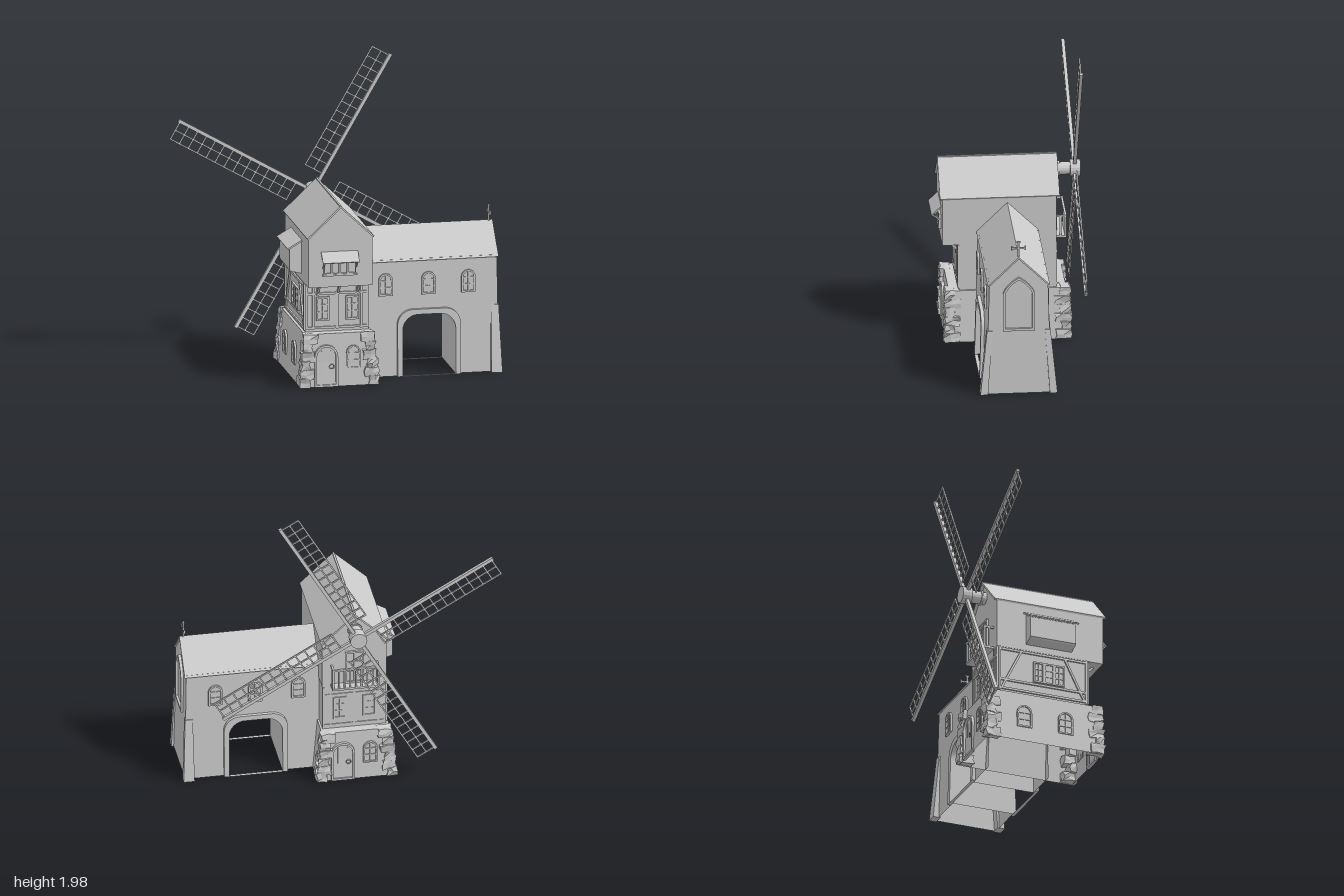
import * as THREE from 'three';

const mat = new THREE.MeshStandardMaterial({ color: 0xcccccc, flatShading: true, side: THREE.DoubleSide });

function add(parent, name, geo, x = 0, y = 0, z = 0) {
  const m = new THREE.Mesh(geo, mat);
  m.name = name;
  m.position.set(x, y, z);
  parent.add(m);
  return m;
}
const box = (p, name, w, h, d, x, y, z) => add(p, name, new THREE.BoxGeometry(w, h, d), x, y, z);

// bar between two points in the local xy plane
function bar(p, name, x0, y0, x1, y1, w, d, z = 0) {
  const m = box(p, name, Math.hypot(x1 - x0, y1 - y0), w, d, (x0 + x1) / 2, (y0 + y1) / 2, z);
  m.rotation.z = Math.atan2(y1 - y0, x1 - x0);
  return m;
}
function place(parent, name, x, y, z, ry = 0) {
  const g = new THREE.Group();
  g.name = name;
  g.position.set(x, y, z);
  g.rotation.y = ry;
  parent.add(g);
  return g;
}
// box whose bottom and top rectangles [x0, x1, z0, z1] differ
function taper(p, name, y0, a, y1, b, open = false) {
  const g = new THREE.BoxGeometry(1, 1, 1), v = g.attributes.position;
  for (let i = 0; i < v.count; i++) {
    const up = v.getY(i) > 0, r = up ? b : a;
    v.setXYZ(i, v.getX(i) < 0 ? r[0] : r[1], up ? y1 : y0, v.getZ(i) < 0 ? r[2] : r[3]);
  }
  if (open) {
    const idx = Array.from(g.index.array);
    idx.splice(18, 6);
    g.setIndex(idx);
    g.clearGroups();
  }
  g.computeVertexNormals();
  return add(p, name, g);
}
const poly = pts => new THREE.Shape(pts.map(q => new THREE.Vector2(q[0], q[1])));
const extrude = (shape, depth) => new THREE.ExtrudeGeometry(shape, { depth, bevelEnabled: false, curveSegments: 6 });

// opening outlines standing on y = 0
function outline(kind, w, h, x = 0, y = 0) {
  const s = new THREE.Shape(), a = w / 2;
  s.moveTo(x - a, y).lineTo(x + a, y);
  if (kind === 'round') {
    s.lineTo(x + a, y + h - a);
    s.absarc(x, y + h - a, a, 0, Math.PI, false);
  } else if (kind === 'pointed') {
    s.lineTo(x + a, y + h - w * 0.55);
    s.quadraticCurveTo(x + a * 0.8, y + h - w * 0.25, x, y + h);
    s.quadraticCurveTo(x - a * 0.8, y + h - w * 0.25, x - a, y + h - w * 0.55);
  } else if (kind === 'gate') {
    const r = 0.1;
    s.lineTo(x + a, y + h - r);
    s.absarc(x + a - r, y + h - r, r, 0, Math.PI / 2, false);
    s.absarc(x - a + r, y + h - r, r, Math.PI / 2, Math.PI, false);
  } else s.lineTo(x + a, y + h).lineTo(x - a, y + h);
  s.closePath();
  return s;
}
function opening(p, name, kind, w, h, t, bars = true, d = 0.014) {
  const f = outline(kind, w, h);
  f.holes.push(outline(kind, w - 2 * t, h - 2 * t, 0, t));
  add(p, name + 'Frame', extrude(f, d));
  add(p, name + 'Panel', new THREE.ShapeGeometry(outline(kind, w - t, h - t, 0, t / 2), 6), 0, 0, 0.004);
  if (bars) {
    box(p, name + 'Mullion', 0.007, h - t, 0.008, 0, h / 2, 0.006);
    for (const k of [0.36, 0.66]) box(p, name + 'Bar', w - t, 0.007, 0.008, 0, h * k, 0.006);
  }
}
function door(p) {
  opening(p, 'door', 'round', 0.15, 0.27, 0.014, false, 0.02);
  for (const x of [-0.03, 0.03]) box(p, 'doorPlankSeam', 0.005, 0.22, 0.006, x, 0.12, 0.005);
  add(p, 'doorKnob', new THREE.TorusGeometry(0.014, 0.004, 5, 10), 0.035, 0.13, 0.014);
}

// rough corner stones climbing a battered corner
function quoins(p, sx, sz) {
  let seed = 17 + sx * 3 + sz * 7;
  const rnd = () => (seed = (seed * 16807 + 11) % 2147483647) / 2147483647;
  rnd(); rnd();
  const n = 6;
  for (let i = 0; i < n; i++) {
    const h = 0.34 / n, long = i % 2;
    const g = new THREE.BoxGeometry(long ? 0.09 : 0.065, h * 1.08, long ? 0.065 : 0.1, 2, 2, 2);
    const v = g.attributes.position, moved = new Map();
    for (let k = 0; k < v.count; k++) {
      const key = [v.getX(k), v.getY(k), v.getZ(k)].map(c => c.toFixed(4)).join();
      if (!moved.has(key)) moved.set(key, [rnd(), rnd(), rnd()].map(r => (r - 0.5) * 0.018));
      const o = moved.get(key);
      v.setXYZ(k, v.getX(k) * 0.97 + o[0], v.getY(k) + o[1] * 0.6, v.getZ(k) * 0.97 + o[2]);
    }
    g.computeVertexNormals();
    const y = h * (i + 0.5), off = 0.035 * y / 0.34;
    const w = long ? 0.045 : 0.0325, d = long ? 0.0325 : 0.05;
    add(p, 'cornerStone', g, -0.0775 + sx * (0.26 - off - w), Math.max(y, 0.034), sz * (0.405 - off * 0.3 - d));
  }
}

function tower(root) {
  const g = place(root, 'tower', 0, 0, 0);
  const X = -0.075;
  taper(g, 'stoneBase', 0, [-0.325, 0.17, -0.385, 0.385], 0.34, [-0.295, 0.14, -0.37, 0.37], true);
  for (const sx of [-1, 1]) for (const sz of [-1, 1]) quoins(g, sx, sz);
  box(g, 'middleStorey', 0.405, 0.33, 0.615, X, 0.495, -0.0025);
  add(g, 'upperStorey', extrude(poly([[-0.28, 0.65], [0.13, 0.65], [0.13, 0.97], [X, 1.16], [-0.28, 0.97]]), 0.72), 0, 0, -0.31);
  // roof
  add(g, 'towerRoof', extrude(poly([[X, 1.175], [-0.29, 0.972], [-0.285, 0.962], [X, 1.16], [0.135, 0.962], [0.14, 0.972]]), 0.755), 0, 0, -0.33);
  box(g, 'ridgeCap', 0.012, 0.012, 0.755, X, 1.17, 0.0475);

  // front and back of the base and middle storey
  for (const s of [1, -1]) {
    const f = place(g, s > 0 ? 'frontDetails' : 'backDetails', X, 0, 0, s > 0 ? 0 : Math.PI);
    door(place(f, 'arched door', -0.085, 0, 0.374));
    opening(place(f, 'small window', 0.09, 0.11, 0.375), 'baseWindow', 'round', 0.09, 0.15, 0.01);
    for (const x of [-0.092, 0.097]) opening(place(f, 'middle window', x, 0.41, 0.303), 'middleWindow', 'rect', 0.085, 0.155, 0.012);
    for (const x of [-0.195, -0.152, 0, 0.155, 0.195]) box(f, 'timberPost', 0.014, 0.29, 0.012, x, 0.5, 0.308);
    for (const y of [0.365, 0.585]) box(f, 'timberRail', 0.4, 0.014, 0.012, 0, y, 0.309);
  }
  // jetty brackets under the overhang
  for (const x of [-0.2, -0.07, 0.055]) {
    const b = place(g, 'jettyBracket', x, 0, 0, -Math.PI / 2);
    bar(b, 'jettyBrace', 0.305, 0.585, 0.37, 0.65, 0.014, 0.014);
    box(b, 'jettyPost', 0.014, 0.075, 0.014, 0.311, 0.615, 0);
  }
  // front upper window with awning
  const w = place(g, 'upper front window', -0.08, 0, 0.41);
  box(w, 'windowSill', 0.22, 0.012, 0.02, 0, 0.73, 0.008);
  for (let i = 0; i < 4; i++) opening(place(w, 'window light', -0.078 + i * 0.052, 0.735, 0), 'upperWindow', 'rect', 0.052, 0.085, 0.007, false);
  const aw = box(w, 'awning', 0.235, 0.008, 0.085, 0, 0.847, 0.028);
  aw.rotation.x = 0.78;
  for (const x of [-0.105, 0.105]) {
    const b = place(w, 'awningBracket', x, 0, 0, -Math.PI / 2);
    bar(b, 'awningBrace', 0, 0.775, 0.055, 0.82, 0.008, 0.008);
  }
  // back balcony
  const bal = place(g, 'balcony', X, 0, -0.31, Math.PI);
  box(bal, 'balconyFloor', 0.3, 0.014, 0.07, 0, 0.66, 0.033);
  box(bal, 'balconyRail', 0.3, 0.012, 0.014, 0, 0.8, 0.062);
  for (let i = 0; i < 9; i++) box(bal, 'baluster', 0.01, 0.14, 0.01, -0.144 + i * 0.036, 0.73, 0.062);
  for (const x of [-0.144, 0.144]) {
    box(bal, 'balconySideRail', 0.012, 0.012, 0.065, x, 0.8, 0.03);
    box(bal, 'sideBaluster', 0.01, 0.14, 0.01, x, 0.73, 0.03);
  }
  opening(place(bal, 'balcony door', 0, 0.667, 0), 'balconyDoor', 'rect', 0.12, 0.23, 0.012);

  // left side bay, window and bracing
  add(g, 'sideBay', extrude(poly([[-0.27, 0.9], [-0.355, 0.855], [-0.355, 0.72], [-0.345, 0.71], [-0.27, 0.69]]), 0.31), 0, 0, -0.115);
  bar(g, 'sideBayRoof', -0.37, 0.855, -0.275, 0.91, 0.01, 0.34, 0.04);
  const l = place(g, 'left details', -0.278, 0, 0, -Math.PI / 2);
  for (const x of [-0.06, 0.01, 0.08]) opening(place(l, 'side window', x + 0.03, 0.44, 0), 'sideWindow', 'rect', 0.07, 0.14, 0.01);
  for (const y of [0.365, 0.425, 0.635]) box(l, 'sideRail', 0.6, 0.014, 0.012, 0, y, 0.004);
  for (const s of [-1, 1]) {
    bar(l, 'sideBrace', s * 0.28, 0.37, s * 0.15, 0.63, 0.014, 0.012, 0.004);
    box(l, 'sidePost', 0.014, 0.3, 0.012, s * 0.295, 0.5, 0.004);
    opening(place(l, 'base side window', s * 0.14, 0.1, 0.032), 'baseSideWindow', 'round', 0.1, 0.15, 0.01);
  }
}

function wing(root) {
  const g = place(root, 'gatehouse wing', 0, 0, 0);
  const wallZ = y => 0.205 - 0.027 * y;
  const gx = 0.535, gw = 0.34, gh = 0.395;
  const gate = outline('gate', gw, gh, gx).getPoints(8);

  // long walls with the gate cut out, surround and windows
  const wall = poly([[0.12, 0], [gx - gw / 2, 0], ...gate.slice(2, -1).reverse().map(p => [p.x, p.y]), [gx + gw / 2, 0], [0.985, 0], [0.975, 0.75], [0.12, 0.75]]);
  const surround = outline('gate', gw + 0.066, gh + 0.033, gx);
  surround.holes.push(outline('gate', gw, gh, gx));
  for (const s of [1, -1]) {
    const lean = (geo) => {
      const v = geo.attributes.position;
      for (let i = 0; i < v.count; i++) v.setZ(i, s * (v.getZ(i) + wallZ(v.getY(i))));
      geo.computeVertexNormals();
      return geo;
    };
    add(g, 'longWall', lean(new THREE.ShapeGeometry(wall)));
    add(g, 'gateSurround', lean(extrude(surround, 0.022)));
    for (const x of [0.26, 0.535, 0.79])
      opening(place(g, 'wing window', x, 0.52, s * wallZ(0.56), s > 0 ? 0 : Math.PI), 'wingWindow', 'round', 0.09, 0.145, 0.012);
    taper(g, 'cornerButtress', 0, s > 0 ? [0.93, 1, 0.195, 0.243] : [0.93, 1, -0.243, -0.195],
      0.43, s > 0 ? [0.935, 0.984, 0.165, 0.2] : [0.935, 0.984, -0.2, -0.165]);
  }
  // passage lining through the gate
  const pos = [], idx = [], path = gate.slice(1);
  path.forEach((p, i) => {
    pos.push(p.x, p.y, wallZ(p.y), p.x, p.y, -wallZ(p.y));
    if (i) idx.push(2 * i - 2, 2 * i, 2 * i - 1, 2 * i - 1, 2 * i, 2 * i + 1);
  });
  const lining = new THREE.BufferGeometry();
  lining.setAttribute('position', new THREE.Float32BufferAttribute(pos, 3));
  lining.setIndex(idx);
  lining.computeVertexNormals();
  add(g, 'gatePassage', lining);

  // end wall with pointed window
  const end = new THREE.ShapeGeometry(poly([[-0.205, 0], [0.205, 0], [0.185, 0.75], [0, 0.92], [-0.185, 0.75]]));
  const v = end.attributes.position;
  for (let i = 0; i < v.count; i++) v.setZ(i, 0.985 - 0.0133 * v.getY(i));
  end.computeVertexNormals();
  add(g, 'endWall', end).rotation.y = Math.PI / 2;
  opening(place(g, 'pointed window', 0.975, 0.43, 0, Math.PI / 2), 'pointedWindow', 'pointed', 0.2, 0.365, 0.016, false, 0.018);

  // roof
  const roof = extrude(poly([[-0.196, 0.738], [-0.186, 0.735], [0, 0.918], [0.186, 0.735], [0.196, 0.738], [0, 0.932]]), 0.855);
  add(g, 'wingRoof', roof, 0.13).rotation.y = Math.PI / 2;
  // finial cross
  const c = place(g, 'finial cross', 0.96, 0, 0, Math.PI / 2);
  box(c, 'crossPost', 0.01, 0.11, 0.01, 0, 0.975, 0);
  box(c, 'crossArm', 0.085, 0.01, 0.01, 0, 0.985, 0);
  for (const s of [-1, 1]) box(c, 'crossTip', 0.008, 0.025, 0.012, s * 0.042, 0.985, 0);
  box(c, 'crossTop', 0.024, 0.008, 0.012, 0, 1.027, 0);
}

function sails(root) {
  const g = place(root, 'sails', -0.075, 1.063, -0.44);
  const cyl = (name, r, len, z) => { add(g, name, new THREE.CylinderGeometry(r, r, len, 16), 0, 0, z).rotation.x = Math.PI / 2; };
  cyl('shaft', 0.04, 0.16, 0.06);
  cyl('shaftCollar', 0.048, 0.012, 0.1);
  cyl('hub', 0.054, 0.065, -0.003);
  for (let k = 0; k < 4; k++) {
    const s = place(g, 'sail', 0, 0, 0);
    s.rotation.z = Math.PI / 3 + k * Math.PI / 2;
    bar(s, 'spar', 0, 0, 0.995, 0, 0.022, 0.022);
    for (const y of [0.064, 0.128]) bar(s, 'sailRail', 0.12, y, 0.985, y, 0.009, 0.009);
    for (let i = 0; i < 14; i++) {
      const x = 0.124 + i * 0.066;
      bar(s, 'sailRung', x, 0, x, 0.13, 0.009, 0.009);
    }
  }
}

export function createModel() {
  const root = new THREE.Group();
  root.name = 'windmill';
  tower(root);
  wing(root);
  sails(root);
  return root;
}
